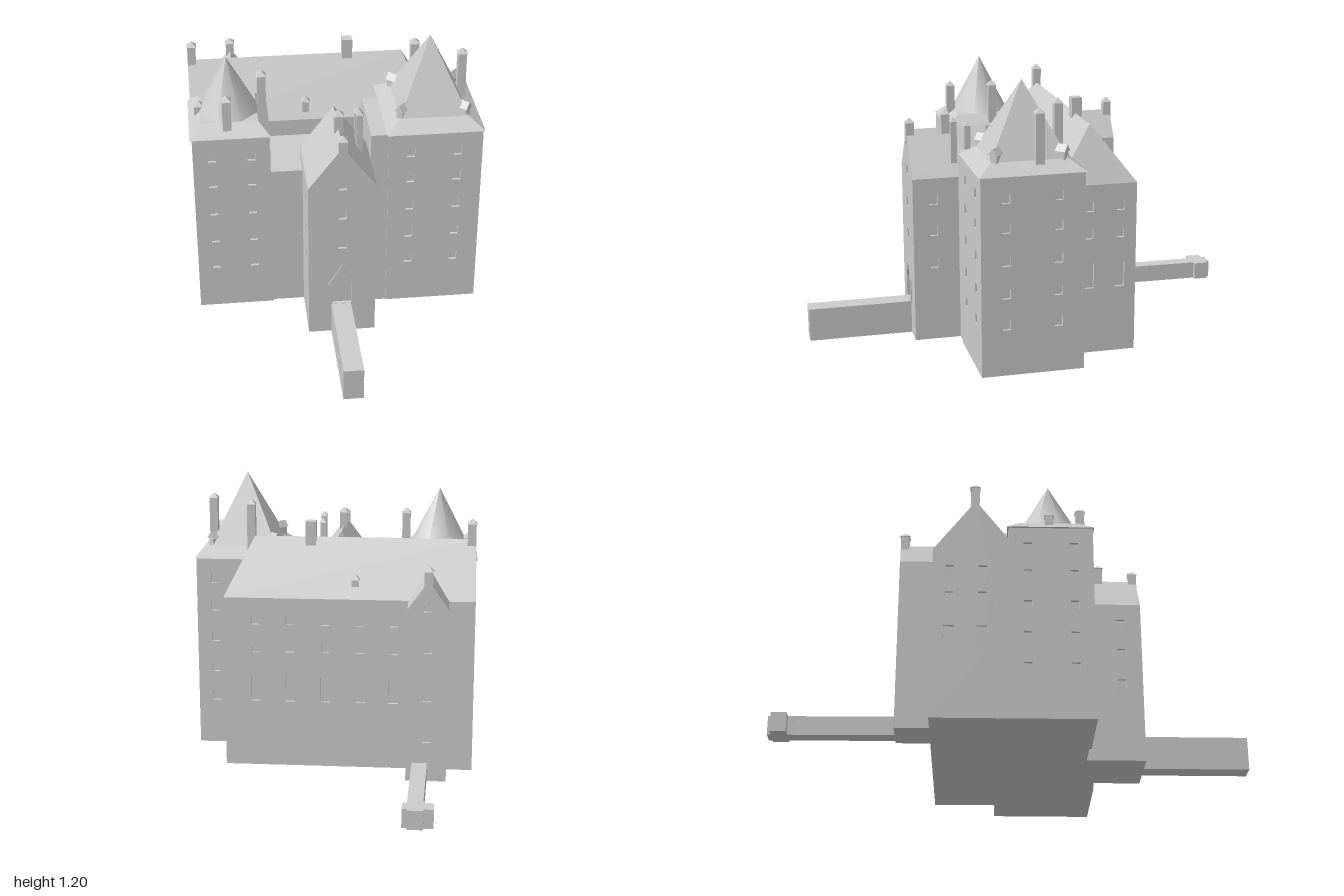
import * as THREE from 'three';

const flat = new THREE.MeshStandardMaterial({ color: 0xcccccc, flatShading: true });
const smooth = new THREE.MeshStandardMaterial({ color: 0xcccccc });
const T = 0.012; // wall thickness, which is also the window recess

export function createModel() {
  const root = new THREE.Group();

  const add = (name, geometry, parent = root, material = flat) => {
    const mesh = new THREE.Mesh(geometry, material);
    mesh.name = name;
    parent.add(mesh);
    return mesh;
  };

  // Solid between a lower and an upper rectangle, each [x0, x1, z0, z1]
  const taper = (name, lo, y0, hi, y1, parent) => {
    const g = new THREE.BoxGeometry(1, 1, 1);
    const p = g.attributes.position;
    for (let i = 0; i < p.count; i++) {
      const up = p.getY(i) > 0, r = up ? hi : lo;
      p.setXYZ(i, p.getX(i) < 0 ? r[0] : r[1], up ? y1 : y0, p.getZ(i) < 0 ? r[2] : r[3]);
    }
    g.computeVertexNormals();
    return add(name, g, parent);
  };
  const box = (name, r, y0, y1, parent) => taper(name, r, y0, r, y1, parent);
  const polygon = (points, Type = THREE.Shape) => new Type(points.map(([x, y]) => new THREE.Vector2(x, y)));
  const rect = ([u, y, w = 0.034, h = 0.042]) =>
    [[u - w / 2, y - h / 2], [u - w / 2, y + h / 2], [u + w / 2, y + h / 2], [u + w / 2, y - h / 2]];
  const grid = (cols, rows, w, h) => cols.flatMap(c => rows.map(r => [c, r, w, h]));

  // Walled block; each side has a list of windows, and may rise to a gable
  const block = (name, [x0, x1, z0, z1], h, windows = {}, gables = {}, door = null) => {
    const group = new THREE.Group();
    group.name = name;
    root.add(group);
    box('core', [x0 + T, x1 - T, z0 + T, z1 - T], 0, h, group);
    const sides = {
      front: [x0, x1, 1, 0, [0, 0, z1 - T]],
      back: [-x1, -x0, -1, Math.PI, [0, 0, z0 + T]],
      left: [-z1, -z0, -1, Math.PI / 2, [x1 - T, 0, 0]],
      right: [z0, z1, 1, -Math.PI / 2, [x0 + T, 0, 0]],
    };
    for (const [side, [a, b, sign, angle, pos]] of Object.entries(sides)) {
      const outline = [[a, 0], [b, 0], [b, h]];
      if (gables[side]) outline.push([(a + b) / 2, gables[side]]);
      outline.push([a, h]);
      const shape = polygon(outline);
      for (const [u, ...rest] of windows[side] || [])
        shape.holes.push(polygon(rect([u * sign, ...rest]), THREE.Path));
      if (door && side === 'front') shape.holes.push(polygon(door, THREE.Path));
      const wall = add(side + 'Wall', new THREE.ExtrudeGeometry(shape, { depth: T, bevelEnabled: false }), group);
      wall.rotation.y = angle;
      wall.position.set(...pos);
    }
    return group;
  };

  // Chimney shaft with a small pointed cap
  const chimney = (x, z, y0, y1, w = 0.036, cap = 0.022) => {
    const h = w / 2, r = [x - h, x + h, z - h, z + h];
    box('chimney', r, y0, y1 - cap);
    if (cap) {
      const o = 0.003;
      taper('chimneyCap', [r[0] - o, r[1] + o, r[2] - o, r[3] + o], y1 - cap, [x, x, z, z], y1);
    }
  };

  const rows = [0.22, 0.355, 0.495, 0.635, 0.76];

  // Main range: gable at the model's right end, hip at the left end
  const endWindows = [...grid([-0.28, -0.145], [0.53, 0.65]), ...grid([-0.28, -0.145], [0.345], 0.042, 0.11)];
  const backCols = [0.315, 0.17, 0.02, -0.13, -0.27];
  block('mainRange', [-0.61, 0.45, -0.35, 0], 0.745, {
    left: endWindows,
    right: endWindows,
    back: [...grid(backCols, [0.53, 0.65]), ...grid(backCols, [0.345], 0.042, 0.11)],
  }, { right: 0.975 });
  taper('mainRoof', [-0.61 + T, 0.45, -0.35, 0], 0.745, [-0.61 + T, 0.335, -0.178, -0.172], 0.975);

  // Low link between the towers and the raised block beside the gatehouse
  block('link', [-0.29, 0.22, -0.02, 0.3], 0.67);
  block('linkBlock', [0.135, 0.23, 0.02, 0.35], 0.85);

  // Right tower with skirt roof and spire
  block('rightTower', [-0.61, -0.285, -0.04, 0.31], 0.85, {
    front: grid([-0.53, -0.365], rows),
    right: grid([0.04, 0.23], rows),
  });
  taper('rightTowerSkirt', [-0.62, -0.28, -0.045, 0.315], 0.85, [-0.57, -0.33, 0.01, 0.255], 0.897);
  const spire = add('rightTowerSpire', new THREE.ConeGeometry(0.132, 0.245, 8, 1, true).rotateY(Math.PI / 8), root, smooth);
  spire.position.set(-0.45, 1.018, 0.132);
  taper('towerBackRoof', [-0.6, -0.29, -0.16, 0.03], 0.78, [-0.451, -0.449, -0.16, -0.04], 0.915);

  // Left tower with skirt roof, pyramid and corner dormers
  block('leftTower', [0.21, 0.61, -0.08, 0.355], 0.85, {
    front: grid([0.305, 0.505], rows),
    left: grid([0.03, 0.25], rows),
    back: grid([0.53], rows),
  });
  taper('leftTowerSkirt', [0.203, 0.617, -0.087, 0.362], 0.85, [0.262, 0.553, -0.025, 0.3], 0.895);
  taper('leftTowerPyramid', [0.262, 0.553, -0.025, 0.3], 0.895, [0.407, 0.407, 0.138, 0.138], 1.2);
  for (const sx of [-1, 1]) for (const sz of [-1, 1]) {
    const dormer = new THREE.Group();
    dormer.name = 'cornerDormer';
    box('dormerBody', [-0.015, 0.015, -0.04, 0.02], 0.87, 0.925, dormer);
    taper('dormerRoof', [-0.022, 0.022, -0.045, 0.025], 0.925, [0, 0, -0.045, 0.025], 0.953, dormer);
    dormer.position.set(0.407 + sx * 0.132, 0, 0.138 + sz * 0.137);
    dormer.rotation.y = Math.atan2(sx, sz);
    root.add(dormer);
  }

  // Gatehouse with pointed doorway
  const door = [[-0.05, 0.147], [-0.05, 0.24], [-0.009, 0.318], [0.032, 0.24], [0.032, 0.147]];
  const frame = [[-0.066, 0.146], [0.049, 0.146], [0.049, 0.25], [-0.009, 0.345], [-0.066, 0.25]];
  block('gatehouse', [-0.15, 0.135, 0.2, 0.55], 0.73, {
    front: grid([-0.006], [0.45, 0.597, 0.74]),
    left: grid([0.46], [0.35, 0.495, 0.635]),
    right: grid([0.46], [0.35, 0.495, 0.635]),
  }, { front: 0.92, back: 0.92 }, door);
  taper('gatehouseRoof', [-0.15, 0.135, 0.2 + T, 0.55 - T], 0.73, [-0.0085, -0.0065, 0.2 + T, 0.55 - T], 0.918);
  const frameShape = polygon(frame);
  frameShape.holes.push(polygon(door, THREE.Path));
  add('doorFrame', new THREE.ExtrudeGeometry(frameShape, { depth: 0.006, bevelEnabled: false })).position.z = 0.549;
  box('frontBridge', [-0.053, 0.031, 0.53, 1], 0, 0.145);

  // Rear wing and its causeway
  block('rearWing', [-0.5, -0.33, -0.49, -0.3], 0.745, {
    back: grid([-0.415], [0.19, 0.37, 0.58, 0.755]),
  }, { back: 0.865 });
  taper('rearWingRoof', [-0.5, -0.33, -0.49 + T, -0.25], 0.745, [-0.416, -0.414, -0.49 + T, -0.25], 0.864);
  const causeway = box('causeway', [-0.032, 0.032, -0.49, 0], 0, 0.08);
  causeway.position.set(-0.388, 0, -0.46);
  causeway.rotation.y = -0.015;
  box('causewayEnd', [-0.455, -0.33, -0.985, -0.92], 0, 0.08);
  box('causewayTip', [-0.415, -0.35, -1, -0.9], 0, 0.08);

  // Chimneys: x, z, bottom, top
  [
    [-0.591, -0.178, 0.93, 1.065], [-0.575, 0.13, 0.86, 0.94], [-0.305, 0.105, 0.86, 1.055],
    [-0.46, 0.268, 0.86, 1.03], [0.555, 0.1, 0.86, 1.112], [0.37, -0.025, 0.86, 1.108],
    [-0.006, 0.38, 0.88, 1.0], [-0.006, 0.535, 0.86, 0.97], [-0.415, -0.475, 0.8, 0.925],
  ].forEach(c => chimney(...c));
  chimney(0.083, 0.3, 0.76, 0.965, 0.026);
  chimney(0.083, 0.36, 0.76, 0.985, 0.026);
  chimney(0.093, -0.18, 0.93, 1.045, 0.045, 0);

  // Small roof vents on both slopes of the main roof
  for (const z of [-0.3, -0.035]) chimney(-0.105, z, 0.76, 0.845, 0.03, 0.025);

  return root;
}
